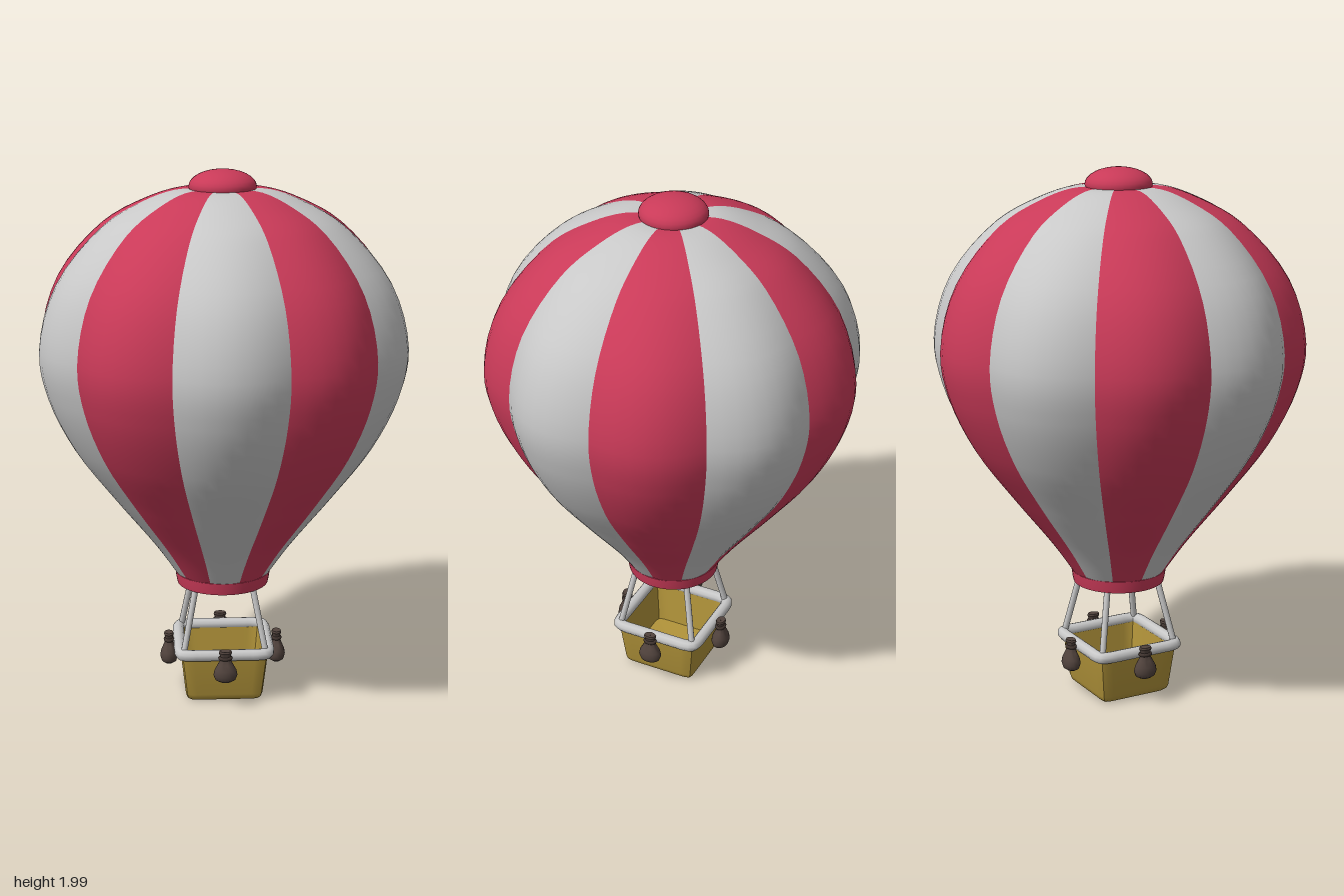
import * as THREE from 'three';
import { toCreasedNormals } from 'three/addons/utils/BufferGeometryUtils.js';
import { ParametricGeometry } from 'three/addons/geometries/ParametricGeometry.js';

const paint = (name, color) => {
  const m = new THREE.MeshStandardMaterial({ color, side: THREE.DoubleSide });
  m.name = name;
  return m;
};

const GORES = 10;

// Point on a square of half-width h with rounded corners, seen at angle a
function squarePoint(h, y, a, n, target = new THREE.Vector3()) {
  const s = Math.sin(a), c = Math.cos(a);
  const r = h / Math.pow(Math.abs(s) ** n + Math.abs(c) ** n, 1 / n);
  return target.set(r * s, y, r * c);
}

const lathe = (pts, seg = 48) =>
  toCreasedNormals(new THREE.LatheGeometry(pts.map(p => new THREE.Vector2(...p)), seg), 0.7);

export function createModel() {
  const model = new THREE.Group();
  const red = paint('crimson cloth', 0xc93a58);
  const white = paint('light grey', 0xc8c8c8);
  const wicker = paint('wicker yellow', 0xb2943a);
  const brown = paint('sandbag brown', 0x51433d);
  const tieBrown = paint('tie brown', 0x40342f);

  const add = (name, geometry, material, parent = model) => {
    const mesh = new THREE.Mesh(geometry, material);
    mesh.name = name;
    parent.add(mesh);
    return mesh;
  };

  // Envelope: ten bulging gores in alternating colours
  const profile = new THREE.CatmullRomCurve3([
    [0.17, 0.48], [0.25, 0.6], [0.4, 0.8], [0.536, 1.0], [0.622, 1.2], [0.647, 1.37],
    [0.588, 1.6], [0.43, 1.8], [0.29, 1.885], [0.17, 1.927], [0.06, 1.93],
  ].map(([r, y]) => new THREE.Vector3(r, y, 0)), false, 'centripetal');
  const p = new THREE.Vector3();
  const envelope = new THREE.Group();
  envelope.name = 'envelope';
  model.add(envelope);
  for (let i = 0; i < GORES; i++) {
    const gore = new ParametricGeometry((u, v, target) => {
      profile.getPoint(v, p);
      const a = (i + u - 0.5) * Math.PI * 2 / GORES;
      const r = p.x * (1 + 0.06 * (p.x / 0.647) * Math.sin(Math.PI * u));
      target.set(r * Math.sin(a), p.y, r * Math.cos(a));
    }, 8, 40);
    add('gore', gore, i % 2 ? red : white, envelope);
  }

  // Crown cap
  const cap = add('crownCap', new THREE.SphereGeometry(0.123, 32, 16), red);
  cap.scale.y = 0.5;
  cap.position.y = 1.9385;

  // Skirt ring around the mouth, with a pale lining
  add('skirt', lathe([[0.166, 0.442], [0.171, 0.442], [0.175, 0.46], [0.179, 0.488], [0.165, 0.492]]), red);
  add('skirtLining', lathe([[0.166, 0.442], [0.145, 0.443], [0.148, 0.46], [0.165, 0.49]]), white);

  // Hollow basket, lofted from floor up the outside and down the inside
  const walls = [
    [0.001, 0.006], [0.115, 0.006], [0.131, 0.009], [0.141, 0.018], [0.146, 0.034],
    [0.165, 0.2], [0.15, 0.2], [0.134, 0.035], [0.001, 0.03],
  ];
  const basket = new ParametricGeometry((u, v, target) => {
    const t = v * (walls.length - 1);
    const i = Math.min(Math.floor(t), walls.length - 2), f = t - i;
    const h = walls[i][0] + (walls[i + 1][0] - walls[i][0]) * f;
    const y = walls[i][1] + (walls[i + 1][1] - walls[i][1]) * f;
    squarePoint(h, y, u * Math.PI * 2, 16, target);
  }, 72, walls.length - 1);
  add('basket', toCreasedNormals(basket, 0.7), wicker);

  // Padded rim
  const rimPoints = Array.from({ length: 48 }, (_, i) => squarePoint(0.167, 0.202, i * Math.PI / 24, 12));
  add('basketRim', new THREE.TubeGeometry(new THREE.CatmullRomCurve3(rimPoints, true), 96, 0.022, 10, true), white);

  // Four corner struts
  for (const sx of [-1, 1]) for (const sz of [-1, 1]) {
    const line = new THREE.LineCurve3(
      new THREE.Vector3(0.155 * sx, 0.2, 0.155 * sz), new THREE.Vector3(0.103 * sx, 0.47, 0.103 * sz));
    add('strut', new THREE.TubeGeometry(line, 1, 0.012, 10), white);
  }

  // Sandbags hung at the middle of each side
  const bag = lathe([
    [0.001, 0.112], [0.022, 0.113], [0.038, 0.122], [0.045, 0.14], [0.041, 0.16],
    [0.029, 0.182], [0.019, 0.2], [0.018, 0.212], [0.025, 0.228], [0.022, 0.235], [0.001, 0.232],
  ], 20);
  const tie = new THREE.TorusGeometry(0.02, 0.007, 8, 20).rotateX(Math.PI / 2);
  for (let i = 0; i < 4; i++) {
    const sandbag = new THREE.Group();
    sandbag.name = 'sandbag';
    sandbag.rotation.y = i * Math.PI / 2;
    model.add(sandbag);
    const body = add('sandbagBody', bag, brown, sandbag);
    const knot = add('sandbagTie', tie, tieBrown, sandbag);
    body.scale.z = knot.scale.z = 0.75;
    body.position.z = 0.206;
    knot.position.set(0, 0.206, 0.206);
  }

  // Stand the basket floor on the ground
  model.children.forEach(c => { c.position.y -= 0.003; });
  return model;
}
